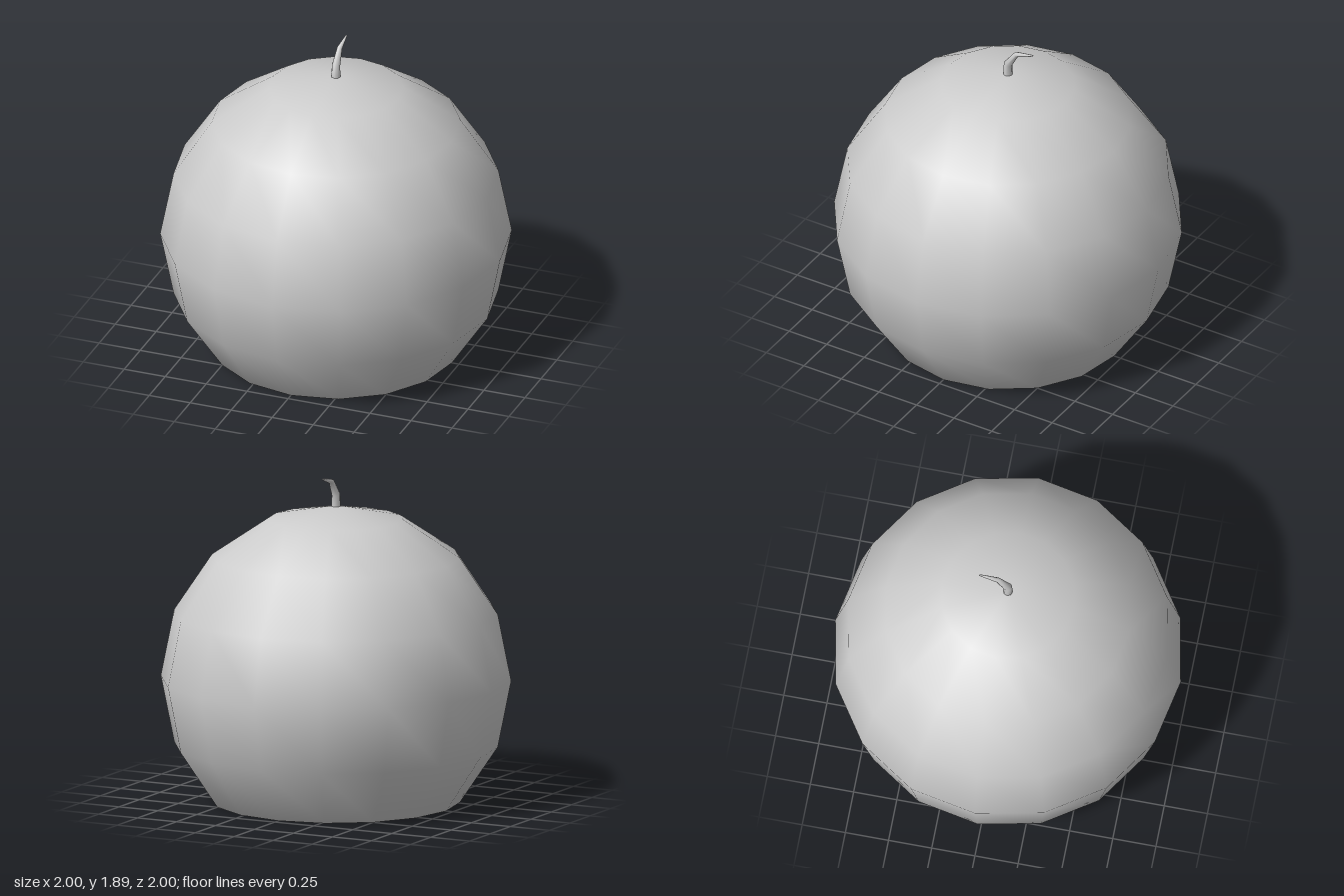
import * as THREE from 'three';

const material = new THREE.MeshStandardMaterial({ color: 0xcccccc });

// Round body: coarse sphere whose underside is pressed flat, keeping its round shading
function makeBody() {
  const geo = new THREE.SphereGeometry(1, 16, 8);
  const pos = geo.attributes.position;
  const floor = -Math.SQRT1_2;
  for (let i = 0; i < pos.count; i++) pos.setY(i, Math.max(pos.getY(i), floor));
  geo.translate(0, -floor, 0);
  const body = new THREE.Mesh(geo, material);
  body.name = 'body';
  return body;
}

// Tapered stem bending backwards: rings [y, z, radius, tilt]
function makeStem() {
  const rings = [
    [1.69, 0, 0.028, 0],
    [1.77, 0, 0.025, 0.25],
    [1.855, -0.057, 0.016, 0.95],
    [1.884, -0.165, 0.005, 1.3],
  ];
  const sides = 8;
  const verts = [];
  const index = [];
  for (const [y, z, r, tilt] of rings) {
    for (let s = 0; s < sides; s++) {
      const a = (s / sides) * Math.PI * 2;
      const d = r * Math.cos(a);
      verts.push(r * Math.sin(a), y + d * Math.sin(tilt), z + d * Math.cos(tilt));
    }
  }
  for (let k = 0; k < rings.length - 1; k++) {
    for (let s = 0; s < sides; s++) {
      const a = k * sides + s;
      const b = k * sides + ((s + 1) % sides);
      index.push(a, b, b + sides, a, b + sides, a + sides);
    }
  }
  // Tip cap
  const last = (rings.length - 1) * sides;
  for (let s = 1; s < sides - 1; s++) index.push(last, last + s, last + s + 1);

  const geo = new THREE.BufferGeometry();
  geo.setAttribute('position', new THREE.Float32BufferAttribute(verts, 3));
  geo.setIndex(index);
  geo.computeVertexNormals();
  const stem = new THREE.Mesh(geo, material);
  stem.name = 'stem';
  return stem;
}

export function createModel() {
  const model = new THREE.Group();
  model.name = 'roundFruit';
  model.add(makeBody(), makeStem());
  return model;
}
